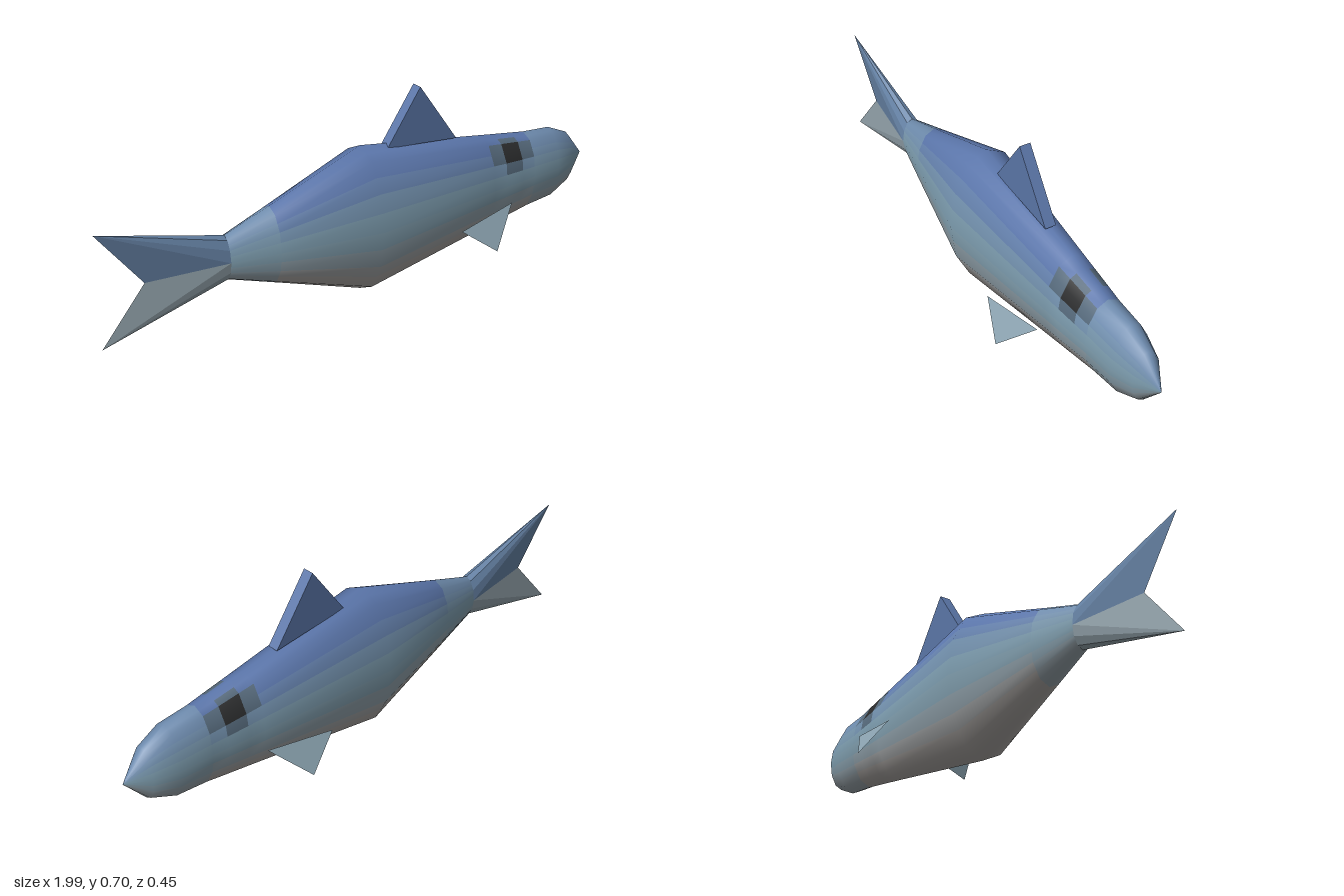
import * as THREE from 'three';

const MID = 0.275;
// body sections: x, top, bottom, half width
const SECTIONS = [
  [-0.55, 0.36, 0.2, 0.04], [-0.38, 0.418, 0.137, 0.074], [-0.02, 0.545, 0.003, 0.143],
  [0.5, 0.458, 0.092, 0.098], [0.56, 0.448, 0.102, 0.093], [0.64, 0.435, 0.115, 0.086], [0.7, 0.425, 0.125, 0.08],
  [0.82, 0.415, 0.137, 0.074], [0.91, 0.375, 0.178, 0.05], [0.99, 0.275, 0.275, 0],
];
const SIDES = 24; // twelve corners, each edge halved so the colour can fade

const BACK = new THREE.Color(0x5b76ab), FLANK = new THREE.Color(0x7f9fb0), BELLY = new THREE.Color(0xa8a4a1);
const mat = (color, extra = {}) => new THREE.MeshStandardMaterial({ color, ...extra });

function corner([x, top, bottom, half], j) {
  const at = (k) => {
    const c = Math.cos(k * Math.PI / 6);
    return new THREE.Vector3(x, MID + c * (c > 0 ? top - MID : MID - bottom), half * Math.sin(k * Math.PI / 6));
  };
  return at(Math.floor(j / 2)).lerp(at(Math.ceil(j / 2)), 0.5);
}

// flat triangles from a list of corner points
function triangles(points) {
  const g = new THREE.BufferGeometry().setFromPoints(points);
  g.computeVertexNormals();
  return g;
}

function addMesh(parent, name, geometry, material) {
  const m = new THREE.Mesh(geometry, material);
  m.name = name;
  parent.add(m);
}

function bandColor(band, blend) {
  const t = (band + 0.5) / 12;
  const c = t < 0.5
    ? BACK.clone().lerp(FLANK, THREE.MathUtils.smoothstep(t, 0.2, 0.5))
    : FLANK.clone().lerp(BELLY, THREE.MathUtils.smoothstep(t, 0.5, 0.8));
  return c.lerp(FLANK, blend);
}

function makeBody() {
  const body = new THREE.Group();
  body.name = 'body';
  const points = SECTIONS.flatMap((s) => Array.from({ length: SIDES }, (_, j) => corner(s, j)));
  const patches = new Map(); // patch name -> indices and colour
  const all = [];
  for (let i = 0; i < SECTIONS.length - 1; i++) {
    for (let j = 0; j < SIDES; j++) {
      const k = (j + 1) % SIDES, a = i * SIDES + j, d = i * SIDES + k;
      const quad = [a, d, a + SIDES, d, d + SIDES, a + SIDES];
      const band = Math.min(j, SIDES - 1 - j);
      const part = i === 0 ? 'tailStem' : i < 6 ? 'trunk' : 'snout';
      let name = part + 'Band' + band;
      let color = bandColor(band, part === 'trunk' ? 0 : part === 'snout' ? 0.45 : 0.5);
      // dark eye spot with a softer rim
      if (i === 4 && band >= 2 && band <= 3) {
        name = 'eye';
        color = new THREE.Color(0x2b2c2d);
      } else if ((i === 4 && (band === 1 || band === 4)) || ((i === 3 || i === 5) && band >= 2 && band <= 3)) {
        name = 'eyeRim';
        color = new THREE.Color(0x566a7c);
      }
      if (!patches.has(name)) patches.set(name, { index: [], color });
      patches.get(name).index.push(...quad);
      all.push(...quad);
    }
  }
  // one set of smooth normals shared by every patch
  const shell = new THREE.BufferGeometry().setFromPoints(points);
  shell.setIndex(all);
  shell.computeVertexNormals();
  const normal = shell.attributes.normal;
  for (let v = 1; v < points.length; v += 2) {
    const next = v % SIDES === SIDES - 1 ? v - SIDES + 1 : v + 1;
    const n = new THREE.Vector3().fromBufferAttribute(normal, v - 1)
      .add(new THREE.Vector3().fromBufferAttribute(normal, next)).normalize();
    normal.setXYZ(v, n.x, n.y, n.z);
  }
  for (const [name, { index, color }] of patches) {
    const g = new THREE.BufferGeometry();
    g.setAttribute('position', shell.attributes.position);
    g.setAttribute('normal', normal);
    g.setIndex(index);
    addMesh(body, name, g, mat(color));
  }
  return body;
}

function makeTail() {
  const tail = new THREE.Group();
  tail.name = 'tail';
  const notch = new THREE.Vector3(-0.84, MID, 0);
  for (const [name, tipY, first, color] of [['upperTailLobe', 0.485, 0, 0x6683a6], ['lowerTailLobe', 0.085, 3, 0x90a0a8]]) {
    const tip = new THREE.Vector3(-1, tipY, 0);
    const pts = [];
    for (const side of [1, -1]) {
      const ring = (k) => corner(SECTIONS[0], 2 * k).multiply(new THREE.Vector3(1, 1, side));
      const add = (a, b, c) => pts.push(...(side > 0 ? [a, b, c] : [a, c, b]));
      for (let k = first; k < first + 3; k++) add(tip, ring(k + 1), ring(k));
      if (first === 0) add(tip, notch, ring(3));
      else add(notch, tip, ring(3));
    }
    addMesh(tail, name, triangles(pts), mat(color, { side: THREE.DoubleSide, flatShading: true }));
  }
  return tail;
}

export function createModel() {
  const fish = new THREE.Group();
  fish.name = 'fish';
  fish.add(makeBody(), makeTail());

  // dorsal fin: a triangular slab
  const outline = new THREE.Shape([[0.08, 0.515], [0.375, 0.484], [0.215, 0.708]].map(([x, y]) => new THREE.Vector2(x, y)));
  const dorsal = new THREE.ExtrudeGeometry(outline, { depth: 0.04, bevelEnabled: false });
  dorsal.translate(0, 0, -0.02);
  addMesh(fish, 'dorsalFin', dorsal, mat(0x5b76a8, { flatShading: true }));

  // side fins: thin triangles standing off the flanks
  for (const [side, name] of [[1, 'frontSideFin'], [-1, 'backSideFin']]) {
    const fin = triangles([
      new THREE.Vector3(0.535, 0.24, side * 0.147),
      new THREE.Vector3(0.285, 0.208, side * 0.18),
      new THREE.Vector3(0.41, 0.115, side * 0.225),
    ]);
    addMesh(fish, name, fin, mat(0x8ba3b0, { side: THREE.DoubleSide, flatShading: true }));
  }
  return fish;
}
